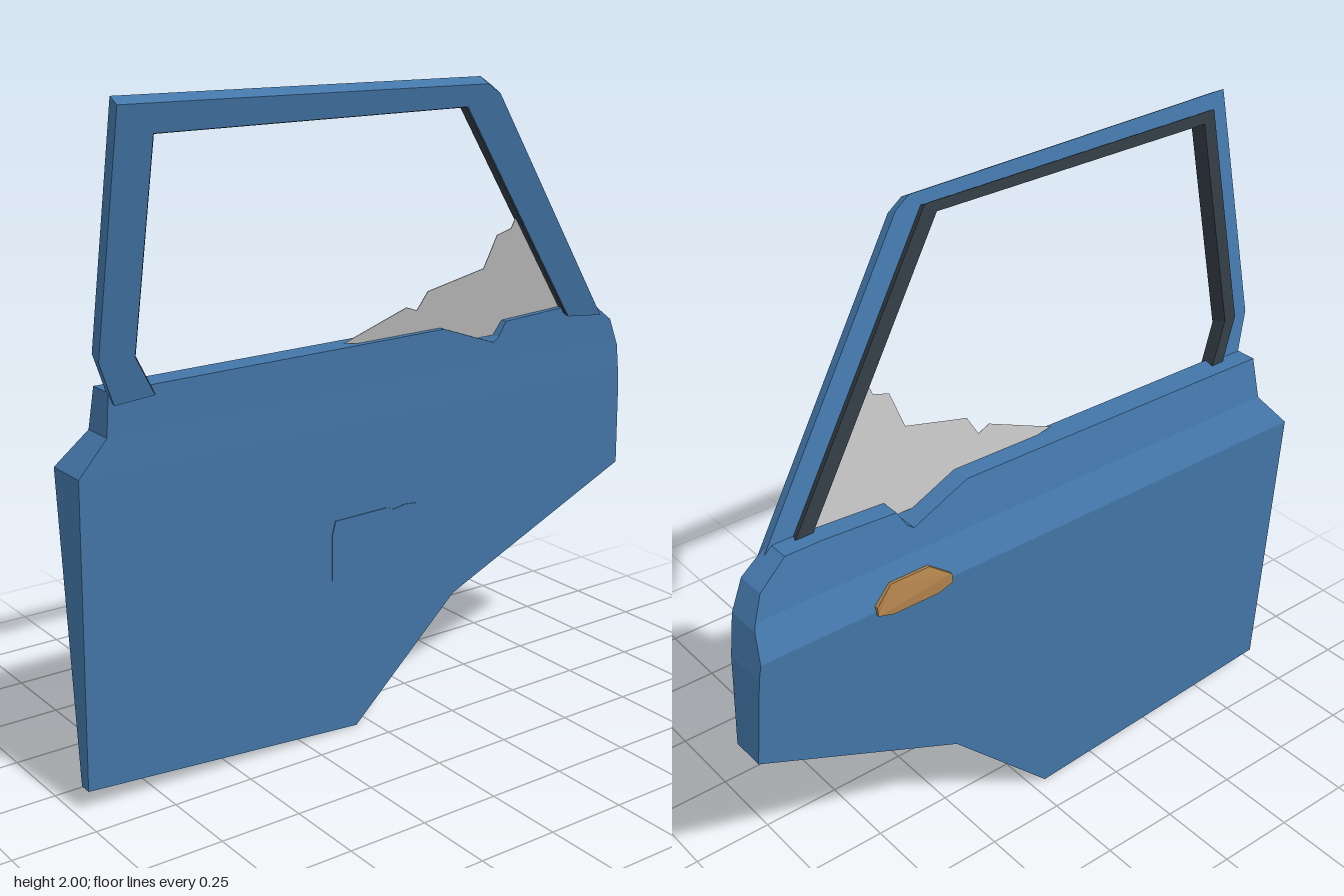
import * as THREE from 'three';

const mat = (name, color, side = THREE.FrontSide) => {
  const m = new THREE.MeshStandardMaterial({ color, side });
  m.name = name;
  return m;
};

// Piecewise linear lookup through [y, x] pairs
const profile = (pts) => (y) => {
  let i = 1;
  while (i < pts.length - 1 && y > pts[i][0]) i++;
  const [[y0, x0], [y1, x1]] = [pts[i - 1], pts[i]];
  return x0 + ((x1 - x0) * (y - y0)) / (y1 - y0);
};

// Part of an outline between two heights
function clip(poly, lo, hi) {
  const half = (pts, level, sign) => pts.flatMap((p, i) => {
    const q = pts[(i + 1) % pts.length];
    const a = sign * (p[1] - level), b = sign * (q[1] - level);
    const out = a >= 0 ? [p] : [];
    if (a * b < 0) out.push([p[0] + ((q[0] - p[0]) * a) / (a - b), level]);
    return out;
  });
  return half(half(poly, lo, 1), hi, -1);
}

// Solid from a [z, y] outline; inner and outer map (z, y) to a point on each face.
// Walls lying on a cut height are left out.
function slabPositions(poly, inner, outer, cuts = []) {
  let pts = poly.map(([z, y]) => new THREE.Vector2(-z, y));
  if (THREE.ShapeUtils.area(pts) < 0) pts = pts.reverse();
  const A = pts.map((p) => inner(-p.x, p.y));
  const B = pts.map((p) => outer(-p.x, p.y));
  const out = [];
  const tri = (a, b, c) => out.push(...a, ...b, ...c);
  for (const [a, b, c] of THREE.ShapeUtils.triangulateShape(pts, [])) {
    tri(A[a], A[b], A[c]);
    tri(B[a], B[c], B[b]);
  }
  for (let i = 0; i < pts.length; i++) {
    const j = (i + 1) % pts.length;
    if (pts[i].y === pts[j].y && cuts.includes(pts[i].y)) continue;
    tri(A[i], B[i], B[j]);
    tri(A[i], B[j], A[j]);
  }
  return out;
}

function meshFrom(name, positions, material) {
  const g = new THREE.BufferGeometry();
  g.setAttribute('position', new THREE.Float32BufferAttribute(positions, 3));
  g.computeVertexNormals();
  const m = new THREE.Mesh(g, material);
  m.name = name;
  return m;
}

export function createModel() {
  const group = new THREE.Group();
  group.name = 'carDoor';
  const blue = mat('blue paint', 0x4376a8);
  const dark = mat('dark seal', 0x303a42);
  const grey = mat('grey glass', 0xc0c0c0, THREE.DoubleSide);
  const bronze = mat('bronze handle', 0xa87c48);

  // Door body: outline with thickness varying by height
  const innerX = profile([[0, -0.1], [1, -0.035], [1.1, -0.03], [1.24, -0.02]]);
  const outerX = profile([[0, -0.132], [1, -0.178], [1.1, -0.133], [1.24, -0.1]]);
  const at = (fx, d = 0) => (z, y) => [fx(y) + d, y, z];
  const body = [
    [0.98, 1.0], [0.97, 0.07], [0.05, 0], [-0.31, 0.36], [-0.98, 0.67],
    [-0.96, 0.95], [-0.94, 1.08], [-0.9, 1.17], [-0.81, 1.237], [-0.69, 1.237],
    [-0.46, 1.225], [-0.435, 1.18], [-0.415, 1.165], [-0.22, 1.235], [0.89, 1.225], [0.895, 1.1],
  ];
  const cuts = [1, 1.1];
  const levels = [-1, ...cuts, 2];
  const bodyPositions = [];
  for (let i = 0; i < 3; i++) {
    const part = clip(body, levels[i], levels[i + 1]);
    bodyPositions.push(...slabPositions(part, at(innerX), at(outerX), cuts));
  }
  group.add(meshFrom('doorBody', bodyPositions, blue));

  // Inner pocket panel
  const pocket = [
    [0.165, 0.66], [0.155, 0.705], [-0.03, 0.708], [-0.06, 0.698], [-0.1, 0.705], [-0.15, 0.7],
    [-0.165, 0.62], [-0.06, 0.565], [0, 0.505], [0.16, 0.515],
  ];
  group.add(meshFrom('pocketPanel',
    slabPositions(pocket, at(innerX, 0.003), at(innerX, -0.003)), blue));

  // Leaning window plane; s steps outward through the frame's thickness
  const lean = (s) => (z, y) =>
    [0.18 + 0.24 * (y - 1.98) - 0.035 * s, y + 0.018 * s, z];

  // Window frame, open at the bottom
  const frame = [
    [0.88, 1.19], [0.935, 1.32], [0.935, 1.982], [-0.21, 1.965], [-0.26, 1.935], [-0.84, 1.195],
    [-0.7, 1.21], [-0.15, 1.905], [0.83, 1.905], [0.83, 1.32], [0.76, 1.2],
  ];
  group.add(meshFrom('windowFrame', slabPositions(frame, lean(0), lean(1)), blue));

  // Dark seal lining the opening and standing proud on the outside
  const seal = [
    [0.8, 1.2], [0.87, 1.32], [0.87, 1.935], [-0.18, 1.93], [-0.75, 1.21],
    [-0.695, 1.21], [-0.147, 1.902], [0.827, 1.902], [0.827, 1.32], [0.757, 1.2],
  ];
  group.add(meshFrom('windowSeal', slabPositions(seal, lean(0.08), lean(1.55)), dark));

  // Broken glass left in the front corner
  const glass = [
    [0.13, 1.22], [-0.08, 1.3], [-0.12, 1.285], [-0.15, 1.34], [-0.35, 1.385], [-0.38, 1.485],
    [-0.43, 1.5], [-0.45, 1.56], [-0.72, 1.21], [-0.7, 1.16], [-0.3, 1.16],
  ];
  group.add(meshFrom('brokenGlass', slabPositions(glass, lean(1.05), lean(1.1)), grey));

  // Outside handle on the shoulder crease
  const handle = [
    [-0.34, 0.99], [-0.34, 1.015], [-0.4, 1.055], [-0.53, 1.055],
    [-0.59, 1.015], [-0.59, 0.99], [-0.54, 0.975], [-0.39, 0.975],
  ];
  const handleX = profile([[0.97, -0.188], [1.01, -0.186], [1.06, -0.16]]);
  group.add(meshFrom('doorHandle', slabPositions(handle, at(outerX, 0.01), at(handleX)), bronze));

  return group;
}
